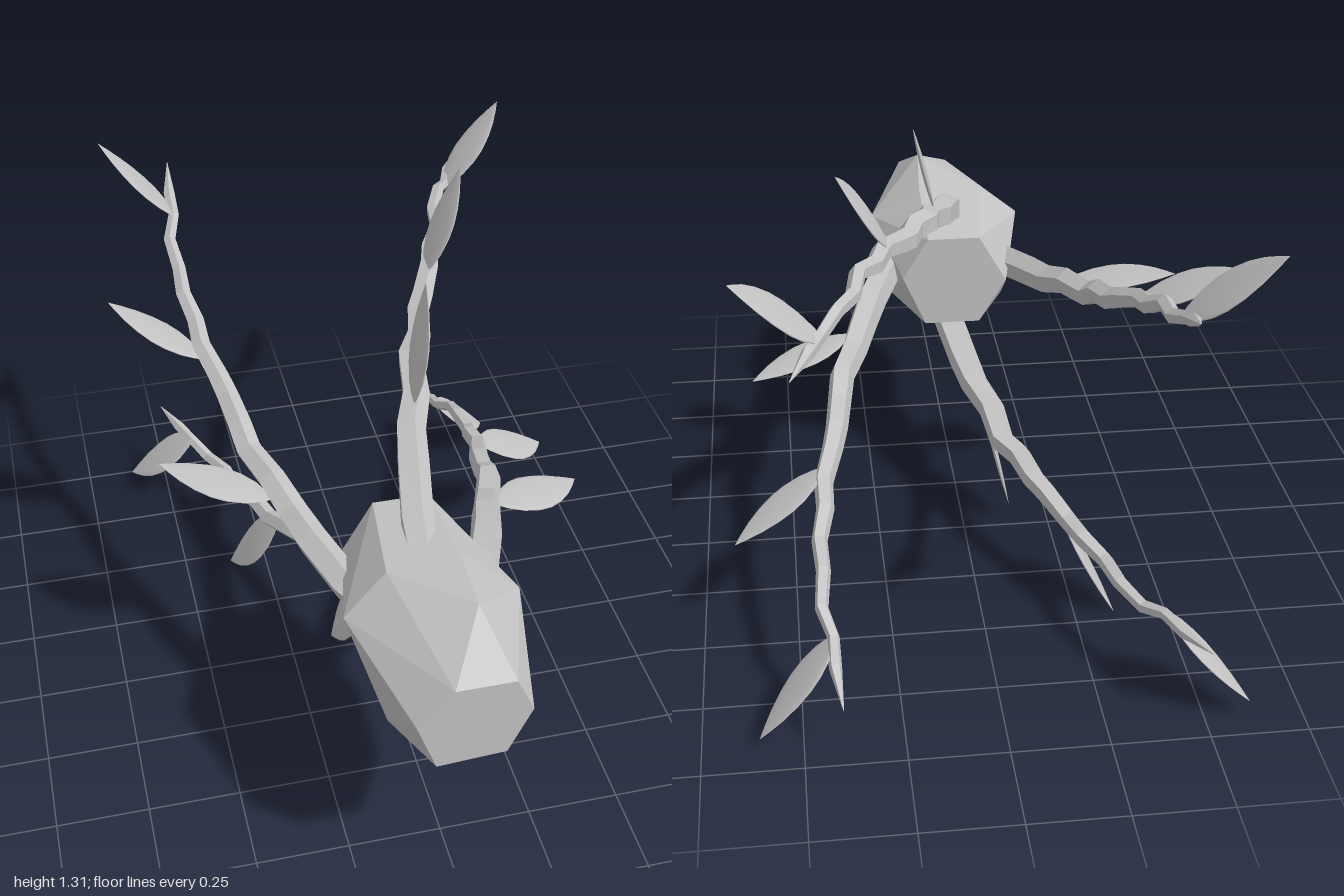
import * as THREE from 'three';
import { ConvexGeometry } from 'three/addons/geometries/ConvexGeometry.js';

const AXIS_Y = 0.66;
const v = (p) => new THREE.Vector3(p[0], p[1], p[2]);

// Faceted tapering branch through [x, y, z, radius] rows
function branchGeometry(rows, sides) {
  const pts = rows.map(v), pos = [], idx = [];
  const last = pts.length - 1;
  pts.forEach((p, i) => {
    const t = pts[Math.min(i + 1, last)].clone().sub(pts[Math.max(i - 1, 0)]).normalize();
    const u = new THREE.Vector3(0, 1, 0).addScaledVector(t, -t.y).normalize();
    const w = t.clone().cross(u);
    for (let j = 0; j < sides; j++) {
      const a = (j / sides) * Math.PI * 2 + 0.3;
      const q = p.clone().addScaledVector(u, Math.cos(a) * rows[i][3]).addScaledVector(w, Math.sin(a) * rows[i][3]);
      pos.push(q.x, q.y, q.z);
    }
  });
  for (let i = 0; i < last; i++) {
    for (let j = 0; j < sides; j++) {
      const a = i * sides + j, b = i * sides + (j + 1) % sides;
      idx.push(a, b, a + sides, b, b + sides, a + sides);
    }
  }
  const g = new THREE.BufferGeometry();
  g.setAttribute('position', new THREE.Float32BufferAttribute(pos, 3));
  g.setIndex(idx);
  const flat = g.toNonIndexed();
  flat.computeVertexNormals();
  return flat;
}

// Thin almond-shaped leaf from base to tip, its blade lying along z
function leafGeometry(base, tip) {
  const y = v(tip).sub(v(base)), length = y.length();
  y.normalize();
  const x = new THREE.Vector3(0, 0, 1).addScaledVector(y, -y.z).normalize();
  const z = x.clone().cross(y);
  const profile = [[0, 0], [0.026, 0.07], [0.054, 0.19], [0.071, 0.34], [0.074, 0.47],
    [0.065, 0.62], [0.046, 0.77], [0.022, 0.9], [0, 1]];
  const g = new THREE.LatheGeometry(profile.map(([r, h]) => new THREE.Vector2(r, h * length)), 20);
  g.scale(1, 1, 0.1);
  g.applyMatrix4(new THREE.Matrix4().makeBasis(x, y, z).setPosition(v(base)));
  return g;
}

export function createModel() {
  const model = new THREE.Group();
  const grey = new THREE.MeshStandardMaterial({ color: 0xc4c4c4 });
  grey.name = 'grey';
  const add = (parent, geometry, name) => {
    const mesh = new THREE.Mesh(geometry, grey);
    mesh.name = name;
    parent.add(mesh);
  };

  // Faceted, uneven body: front face, two swollen rings, back face
  const body = [
    [-0.05, 0.78, 1], [0.1, 0.78, 1], [0.145, 0.68, 1], [0.085, 0.55, 1], [-0.09, 0.54, 1], [-0.14, 0.68, 1],
    [0.055, 0.87, 0.82], [0.17, 0.7, 0.82], [0.16, 0.52, 0.8], [-0.155, 0.49, 0.78], [-0.18, 0.7, 0.82],
    [-0.235, 0.735, 0.65], [-0.12, 0.835, 0.62], [0.07, 0.845, 0.6], [0.215, 0.74, 0.65], [0.03, 0.45, 0.65],
    [0.17, 0.53, 0.55], [0, 0.475, 0.46], [-0.17, 0.53, 0.5],
    [-0.08, 0.8, 0.31], [0.07, 0.8, 0.31], [0.145, 0.68, 0.31], [0.08, 0.53, 0.31], [-0.08, 0.53, 0.31], [-0.16, 0.66, 0.31],
  ];
  add(model, new ConvexGeometry(body.map(v)), 'body');

  // One crooked branch and its leaves, relative to the body axis
  const lower = (p) => [p[0], p[1] - AXIS_Y, ...p.slice(2)];
  const branch = branchGeometry([
    [-0.01, 0.78, 0.57, 0.04], [0, 0.84, 0.45, 0.046], [0.03, 0.9, 0.29, 0.045], [0.05, 0.93, 0.19, 0.042],
    [0.09, 0.965, 0.09, 0.039], [0.105, 1.005, -0.03, 0.036], [0.147, 1.017, -0.1, 0.034],
    [0.17, 1.03, -0.2, 0.032], [0.2, 1.045, -0.26, 0.03], [0.245, 1.075, -0.36, 0.027],
    [0.27, 1.075, -0.45, 0.025], [0.315, 1.095, -0.53, 0.022], [0.332, 1.09, -0.64, 0.02],
    [0.375, 1.1, -0.74, 0.018], [0.415, 1.075, -0.81, 0.016], [0.445, 1.075, -0.89, 0.017], [0.49, 1.062, -1, 0.001],
  ].map(lower), 5);
  const leaves = [
    [[0.07, 0.975, 0.15], [0.135, 1.255, 0.01]],
    [[0.225, 1.072, -0.32], [0.36, 1.315, -0.465]],
    [[0.41, 1.065, -0.8], [0.612, 1.267, -0.935]],
  ].map(([base, tip]) => leafGeometry(lower(base), lower(tip)));

  // Four branches, a quarter turn apart
  ['top', 'left', 'bottom', 'right'].forEach((side, k) => {
    const limb = new THREE.Group();
    limb.name = side + 'Limb';
    limb.position.y = AXIS_Y;
    limb.rotation.z = k * Math.PI / 2;
    add(limb, branch, 'branch');
    leaves.forEach((leaf) => add(limb, leaf, 'leaf'));
    model.add(limb);
  });
  return model;
}
